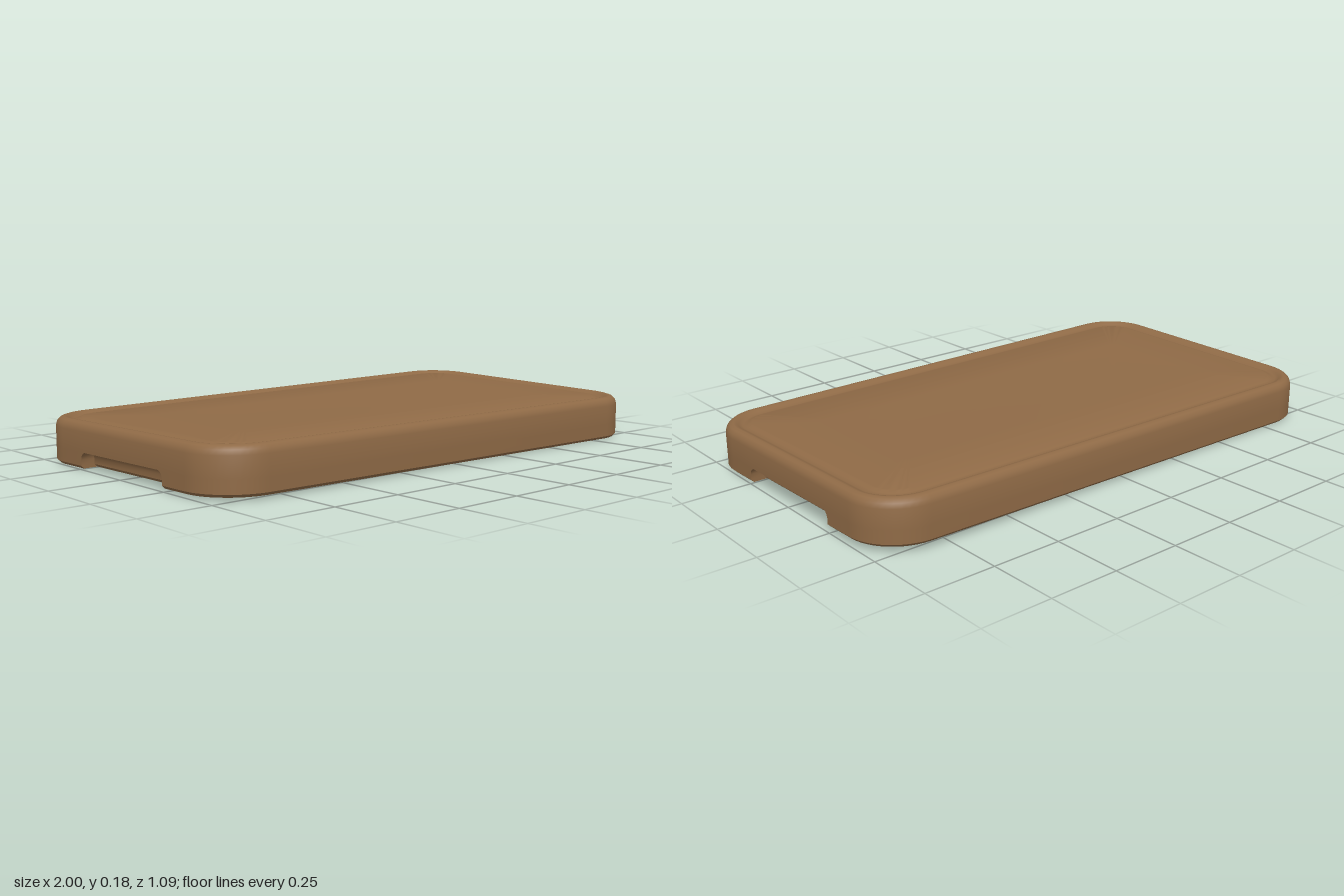
import * as THREE from 'three';
import { toCreasedNormals } from 'three/addons/utils/BufferGeometryUtils.js';

const HALF_X = 1, HALF_Z = 0.543, CORNER = 0.18, STEPS = 12;

// Slight warp of the wood: two opposite corners are lifted
function warp(x, z) {
  const u = (x / HALF_X + 1) / 2, v = (z / HALF_Z + 1) / 2;
  return 0.014 * (1 - u) * v + 0.027 * u * (1 - v);
}

// One rounded-rectangle loop; grip is how far the finger recess cuts in at both ends
function ring({ inset, y, grip = 0, half = 0.243 }) {
  const hx = HALF_X - inset, hz = HALF_Z - inset;
  const r = Math.max(CORNER - inset, 0.02);
  const points = [];
  const add = (x, z) => points.push(new THREE.Vector3(x, y + warp(x, z), z));
  const corners = [[1, 1], [-1, 1], [-1, -1], [1, -1]];
  corners.forEach(([sx, sz], i) => {
    for (let k = 0; k <= STEPS; k++) {
      const a = (i + k / STEPS) * Math.PI / 2;
      add(sx * (hx - r) + r * Math.cos(a), sz * (hz - r) + r * Math.sin(a));
    }
    if (i % 2 === 1) { // end edges carry the recess
      const h = Math.min(half, hz - r);
      add(sx * hx, sz * h);
      add(sx * (hx - grip), sz * h);
      add(sx * (hx - grip), -sz * h);
      add(sx * hx, -sz * h);
    }
  });
  return points;
}

// Skin consecutive loops, then close both ends with a fan
function skin(rings) {
  const out = [];
  const tri = (a, b, c) => {
    const area = b.clone().sub(a).cross(c.clone().sub(a)).length();
    if (area > 1e-9) for (const p of [a, b, c]) out.push(p.x, p.y, p.z);
  };
  const n = rings[0].length;
  for (let i = 0; i < rings.length - 1; i++) {
    for (let j = 0; j < n; j++) {
      const k = (j + 1) % n;
      const a = rings[i][j], b = rings[i][k], c = rings[i + 1][j], d = rings[i + 1][k];
      tri(a, c, b);
      tri(b, c, d);
    }
  }
  const first = rings[0], last = rings[rings.length - 1];
  const middle = (loop) => loop.reduce((s, p) => s.add(p), new THREE.Vector3()).divideScalar(n);
  const low = middle(first), high = middle(last);
  for (let j = 0; j < n; j++) {
    const k = (j + 1) % n;
    tri(low, first[j], first[k]);
    tri(high, last[k], last[j]);
  }
  const geometry = new THREE.BufferGeometry();
  geometry.setAttribute('position', new THREE.Float32BufferAttribute(out, 3));
  return toCreasedNormals(geometry, 0.7);
}

export function createModel() {
  const group = new THREE.Group();
  group.name = 'cuttingBoard';
  const wood = new THREE.MeshStandardMaterial({ color: 0x8f6a46 });
  wood.name = 'brown wood';

  const profile = [
    // underside
    { inset: 0.5, y: 0 },
    { inset: 0.3, y: 0 },
    { inset: 0.1, y: 0 },
    { inset: 0.01, y: 0, grip: 0.05 },
    // finger recesses with a rounded roof
    { inset: 0, y: 0.01, grip: 0.05 },
    { inset: 0, y: 0.03, grip: 0.05 },
    { inset: 0, y: 0.043, grip: 0.043, half: 0.239 },
    { inset: 0, y: 0.052, grip: 0.025, half: 0.231 },
    { inset: 0, y: 0.056, grip: 0, half: 0.222 },
    // side wall and rounded rim
    { inset: 0, y: 0.126 },
    { inset: 0.005, y: 0.142 },
    { inset: 0.015, y: 0.152 },
    { inset: 0.028, y: 0.156 },
    { inset: 0.038, y: 0.155 },
    // juice groove
    { inset: 0.046, y: 0.148 },
    { inset: 0.06, y: 0.143 },
    { inset: 0.076, y: 0.145 },
    { inset: 0.086, y: 0.151 },
    // cutting surface
    { inset: 0.092, y: 0.152 },
    { inset: 0.3, y: 0.152 },
    { inset: 0.5, y: 0.152 },
  ];
  const board = new THREE.Mesh(skin(profile.map(ring)), wood);
  board.name = 'board';
  group.add(board);
  return group;
}
